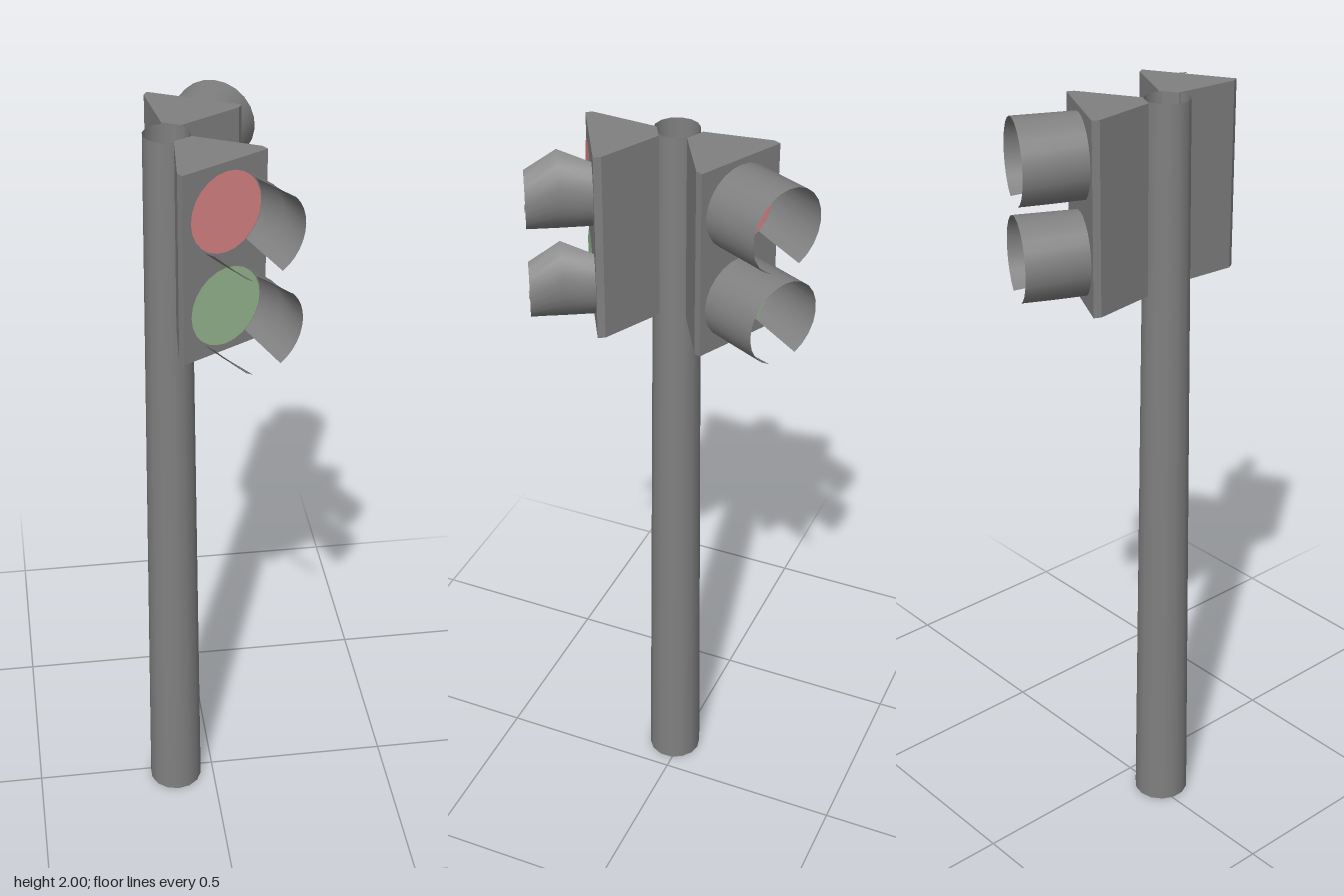
import * as THREE from 'three';

const mat = (name, color, side = THREE.FrontSide) =>
  Object.assign(new THREE.MeshStandardMaterial({ color, side }), { name });

const TOP = 2, BOTTOM = 1.52, LAMP_R = 0.105, HOOD = 0.158;

// Curved hood wall: each row, from base to tip, is a [start, end] angle in degrees
function hoodWall(rows, segments) {
  const g = new THREE.PlaneGeometry(1, 1, segments, rows.length - 1);
  const p = g.attributes.position;
  for (let r = 0; r < rows.length; r++) {
    for (let i = 0; i <= segments; i++) {
      const a = THREE.MathUtils.degToRad(THREE.MathUtils.lerp(rows[r][0], rows[r][1], i / segments));
      p.setXYZ(r * (segments + 1) + i, LAMP_R * Math.cos(a), LAMP_R * Math.sin(a), HOOD * r / (rows.length - 1));
    }
  }
  g.computeVertexNormals();
  return g;
}

export function createModel() {
  const grey = mat('grey metal', 0x808080, THREE.DoubleSide);
  const red = mat('red lens', 0xdc8686);
  const green = mat('green lens', 0x98ba91);

  const model = new THREE.Group();
  model.name = 'trafficSignal';
  const add = (parent, name, geometry, material, x = 0, y = 0, z = 0) => {
    const m = new THREE.Mesh(geometry, material);
    m.name = name;
    m.position.set(x, y, z);
    parent.add(m);
    return m;
  };

  // Tapered hollow pole
  add(model, 'pole', new THREE.CylinderGeometry(0.056, 0.073, TOP, 14, 1, true), grey, -0.108, TOP / 2, 0.021);

  // Wedge-shaped housing, widest at the lamp face
  const half = [[0.12, 0], [0.12, 0.019], [0.025, 0.16]];
  const outline = [...half, ...half.map(([x, y]) => [-x, y]).reverse()];
  const housing = new THREE.ExtrudeGeometry(
    new THREE.Shape(outline.map(([x, y]) => new THREE.Vector2(x, y))),
    { depth: TOP - BOTTOM, bevelEnabled: false });
  housing.rotateX(-Math.PI / 2);

  // Full hoods have a slot below; cut hoods also lack their upper side
  const fullHood = [hoodWall([[-55, 235], [-61, 241], [-67, 247]], 20)];
  const cutHood = [
    hoodWall([[-55, 51], [-61, 74], [-67, 45]], 10),
    hoodWall([[235, 235.5], [210, 241], [235, 247]], 3),
  ];
  const lens = new THREE.CircleGeometry(0.1, 24);

  function signal(name, x, z, angle, hood) {
    const s = new THREE.Group();
    s.name = name;
    s.position.set(x, 0, z);
    s.rotation.y = THREE.MathUtils.degToRad(angle);
    add(s, 'housing', housing, grey, 0, BOTTOM, 0);
    for (const [colour, material, y] of [['red', red, 1.88], ['green', green, 1.64]]) {
      add(s, colour + 'Lens', lens, material, 0, y, 0.004);
      hood.forEach(g => add(s, colour + 'Hood', g, grey, 0, y, 0));
    }
    model.add(s);
  }
  signal('frontSignal', 0.005, 0.195, 29.5, cutHood);
  signal('rearSignal', -0.0195, -0.1755, 153.8, fullHood);
  return model;
}
